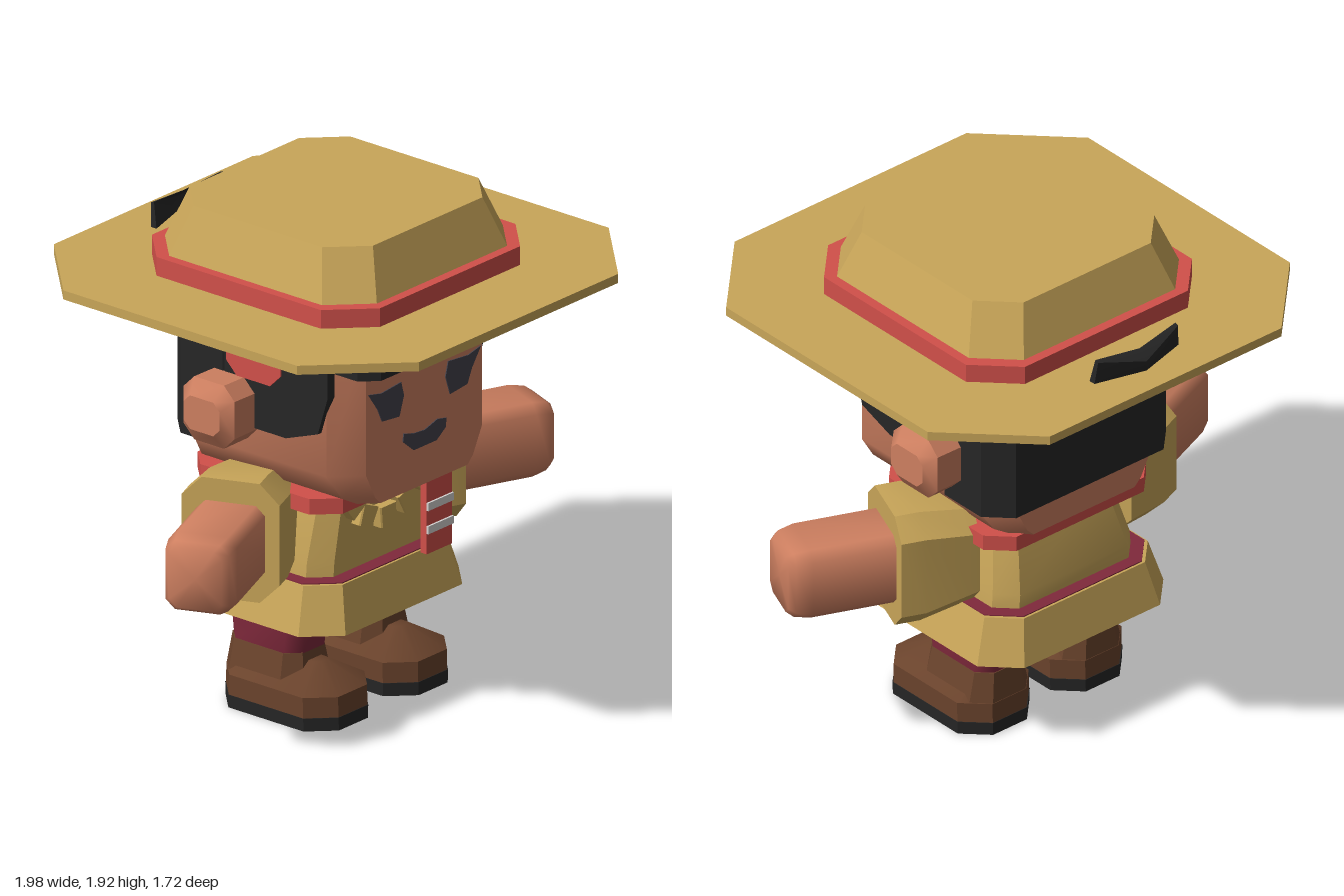
import * as THREE from 'three';
import { toCreasedNormals } from 'three/addons/utils/BufferGeometryUtils.js';

const mat = (name, color) => {
  const m = new THREE.MeshStandardMaterial({ color });
  m.name = name;
  return m;
};

// Closed surface through a list of rings with equal point counts, capped at both ends
function skin(rings, crease = 0.6) {
  const pos = [], index = [], n = rings[0].length;
  rings.forEach(r => r.forEach(p => pos.push(...p)));
  for (let k = 0; k < rings.length - 1; k++) {
    for (let i = 0; i < n; i++) {
      const a = k * n + i, b = k * n + (i + 1) % n;
      index.push(a, a + n, b, b, a + n, b + n);
    }
  }
  for (const top of [false, true]) {
    const r = rings[top ? rings.length - 1 : 0], base = top ? (rings.length - 1) * n : 0;
    const c = pos.length / 3;
    pos.push(...[0, 1, 2].map(j => r.reduce((s, p) => s + p[j] / n, 0)));
    for (let i = 0; i < n; i++) {
      const a = base + i, b = base + (i + 1) % n;
      if (top) index.push(c, b, a); else index.push(c, a, b);
    }
  }
  const g = new THREE.BufferGeometry();
  g.setAttribute('position', new THREE.Float32BufferAttribute(pos, 3));
  g.setIndex(index);
  return toCreasedNormals(g, crease);
}

// Chamfered-rectangle loft along y; sections are [y, halfX, halfZ, chamfer, centreZ]
function loft(sections, crease) {
  return skin(sections.map(([y, x, z, c, cz = 0]) => [
    [x, z - c], [x - c, z], [c - x, z], [-x, z - c],
    [-x, c - z], [c - x, -z], [x - c, -z], [x, c - z],
  ].map(([px, pz]) => [px, y, pz + cz])), crease);
}

function outline(points) {
  return new THREE.Shape(points.map(p => new THREE.Vector2(...p)));
}

function plate(points, depth) {
  return new THREE.ExtrudeGeometry(outline(points), { depth, bevelEnabled: false });
}

// Plate drawn in (z, y) standing on the side of the head, outer face at x = s * outer
function sidePlate(points, s, outer, depth) {
  return plate(points, depth).rotateY(-Math.PI / 2).translate(s > 0 ? outer : depth - outer, 0, 0);
}

export function createModel() {
  const group = new THREE.Group();
  const tan = mat('tan cloth', 0xc9a659);
  const red = mat('red cloth', 0xd1504a);
  const skinTone = mat('skin', 0xcd7f60);
  const black = mat('black hair', 0x262626);
  const maroon = mat('maroon trousers', 0x80293c);
  const brown = mat('brown leather', 0x6a432c);
  const slate = mat('slate face paint', 0x44424c);
  const white = mat('white stripe', 0xd6d4d2);

  const add = (name, geometry, material) => {
    const mesh = new THREE.Mesh(geometry, material);
    mesh.name = name;
    group.add(mesh);
    return mesh;
  };

  // Hat
  add('hatBrim', loft([[1.625, 0.86, 0.86, 0.31], [1.66, 0.86, 0.86, 0.31]]), tan);
  add('hatBand', loft([[1.66, 0.537, 0.537, 0.15], [1.732, 0.537, 0.537, 0.15]]), red);
  add('hatCrown', loft([[1.73, 0.5, 0.5, 0.14], [1.92, 0.432, 0.432, 0.13]]), tan);

  // Head and face
  add('head', loft([
    [0.9, 0.3, 0.415, 0.06], [0.93, 0.355, 0.415, 0.085], [1.03, 0.42, 0.415, 0.1], [1.6, 0.42, 0.415, 0.1],
  ]), skinTone);
  for (const s of [1, -1]) {
    const eye = [[0.31, 1.34], [0.24, 1.325], [0.13, 1.335], [0.115, 1.28], [0.14, 1.205], [0.235, 1.215], [0.26, 1.27]];
    add('eye', plate(eye.map(([x, y]) => [s * x, y]), 0.006).translate(0, 0, 0.413), slate);
  }
  add('mouth', plate([
    [-0.115, 1.13], [-0.06, 1.115], [0, 1.11], [0.07, 1.13], [0.12, 1.12],
    [0.115, 1.085], [0.065, 1.05], [-0.06, 1.05], [-0.12, 1.1],
  ], 0.006).translate(0, 0, 0.413), slate);

  // Hair: fringe, back and side locks
  add('fringe', loft([[1.45, 0.442, 0.493, 0.06, 0.046], [1.626, 0.442, 0.493, 0.06, 0.046]]), black);
  add('backHair', loft([[1.03, 0.44, 0.189, 0.09, -0.258], [1.626, 0.44, 0.189, 0.09, -0.258]]), black);
  const lock = [[0.335, 1.6], [0.335, 1.34], [0.29, 1.195], [0.14, 1.14], [-0.15, 1.14], [-0.15, 1.6]];
  const tag = [[0.12, 1.626], [0.12, 1.375], [0.07, 1.325], [-0.087, 1.325], [-0.137, 1.375], [-0.137, 1.626]];
  for (const s of [1, -1]) {
    add('sideLock', sidePlate(lock, s, 0.44, 0.06), black);
    add('headbandTag', sidePlate(tag, s, 0.447, 0.009), red);
    // Ear
    const ear = loft([
      [0.4, 0.12, 0.12, 0.05], [0.55, 0.122, 0.12, 0.05], [0.592, 0.065, 0.085, 0.03],
    ]).rotateZ(-s * Math.PI / 2).translate(0, 1.203, -0.128);
    add('ear', ear, skinTone);
  }

  // Upswept hair tuft: sections are [halfWidth, inner side, inner middle, outer side, outer middle] as [y, z]
  add('hairTuft', skin([
    [0.2, [1.6, -0.42], [1.625, -0.42], [1.46, -0.42], [1.37, -0.42]],
    [0.2, [1.57, -0.61], [1.56, -0.64], [1.55, -0.65], [1.5, -0.695]],
    [0.2, [1.66, -0.675], [1.66, -0.735], [1.65, -0.7], [1.65, -0.755]],
    [0.19, [1.755, -0.695], [1.71, -0.74], [1.75, -0.71], [1.7, -0.757]],
  ].map(([w, is, im, os, om]) => [
    [w, ...is], [0, ...im], [-w, ...is], [-w, ...os], [0, ...om], [w, ...os],
  ])), black);

  // Tunic
  add('torso', loft([
    [0.56, 0.33, 0.285, 0.07, -0.075], [0.62, 0.325, 0.285, 0.07, -0.075], [0.9, 0.26, 0.245, 0.06, -0.035],
  ]), tan);
  add('skirt', loft([[0.387, 0.442, 0.39, 0.12, -0.07], [0.562, 0.388, 0.347, 0.1, -0.07]]), tan);
  add('belt', loft([[0.56, 0.38, 0.338, 0.1, -0.07], [0.566, 0.38, 0.338, 0.1, -0.07]]), maroon);

  // Scarf, hanging strip and white stripes
  add('scarf', loft([[0.845, 0.387, 0.342, 0.085, -0.052], [0.905, 0.387, 0.342, 0.085, -0.052]]), red);
  add('scarfStrip', new THREE.BoxGeometry(0.14, 0.295, 0.03).translate(0.19, 0.713, 0.31), red);
  for (const y of [0.75, 0.66]) {
    add('stripe', new THREE.BoxGeometry(0.142, 0.03, 0.008).translate(0.19, y, 0.329), white);
  }

  // Open neck and necklace beads
  add('openNeck', plate([[-0.05, 0.86], [0, 0.815], [0.05, 0.86]], 0.006).translate(0, 0, 0.212), skinTone);
  for (const [x, y, turn] of [[-0.18, 0.825, -0.9], [-0.11, 0.765, -0.4], [0, 0.735, 0], [0.11, 0.765, 0.4], [0.18, 0.825, 0.9]]) {
    add('necklaceBead', loft([[-0.04, 0.038, 0.03, 0.005], [0.04, 0.045, 0.03, 0.005]])
      .rotateZ(turn).translate(x, y, 0.22), tan);
  }

  for (const s of [1, -1]) {
    // Arm and sleeve, swung slightly forward
    const swing = g => g.rotateZ(-s * Math.PI / 2).rotateY(-s * 0.384).translate(s * 0.44, 0.755, -0.056);
    add('arm', swing(loft([
      [0, 0.143, 0.13, 0.035], [0.47, 0.143, 0.13, 0.035], [0.53, 0.133, 0.12, 0.035], [0.555, 0.115, 0.1, 0.03],
    ], 1)), skinTone);
    add('sleeve', swing(loft([
      [-0.15, 0.19, 0.16, 0.07], [0.06, 0.23, 0.185, 0.075], [0.155, 0.23, 0.185, 0.075],
    ])), tan);

    // Trouser leg, boot and sole
    const place = g => g.translate(s * 0.22, 0, 0);
    add('trouserLeg', place(loft([[0.24, 0.108, 0.163, 0.05, -0.08], [0.42, 0.11, 0.183, 0.05, -0.077]], 1)), maroon);
    add('bootShaft', place(loft([[0.13, 0.137, 0.18, 0.06, -0.08], [0.245, 0.111, 0.165, 0.05, -0.082]])), brown);
    add('bootFoot', place(loft([
      [0.05, 0.17, 0.265, 0.09, 0.003], [0.128, 0.17, 0.263, 0.09, 0.003], [0.21, 0.035, 0.16, 0.02, -0.03],
    ])), brown);
    add('bootSole', place(loft([[0, 0.17, 0.267, 0.09, 0.003], [0.05, 0.172, 0.267, 0.09, 0.003]])), black);
  }
  return group;
}
